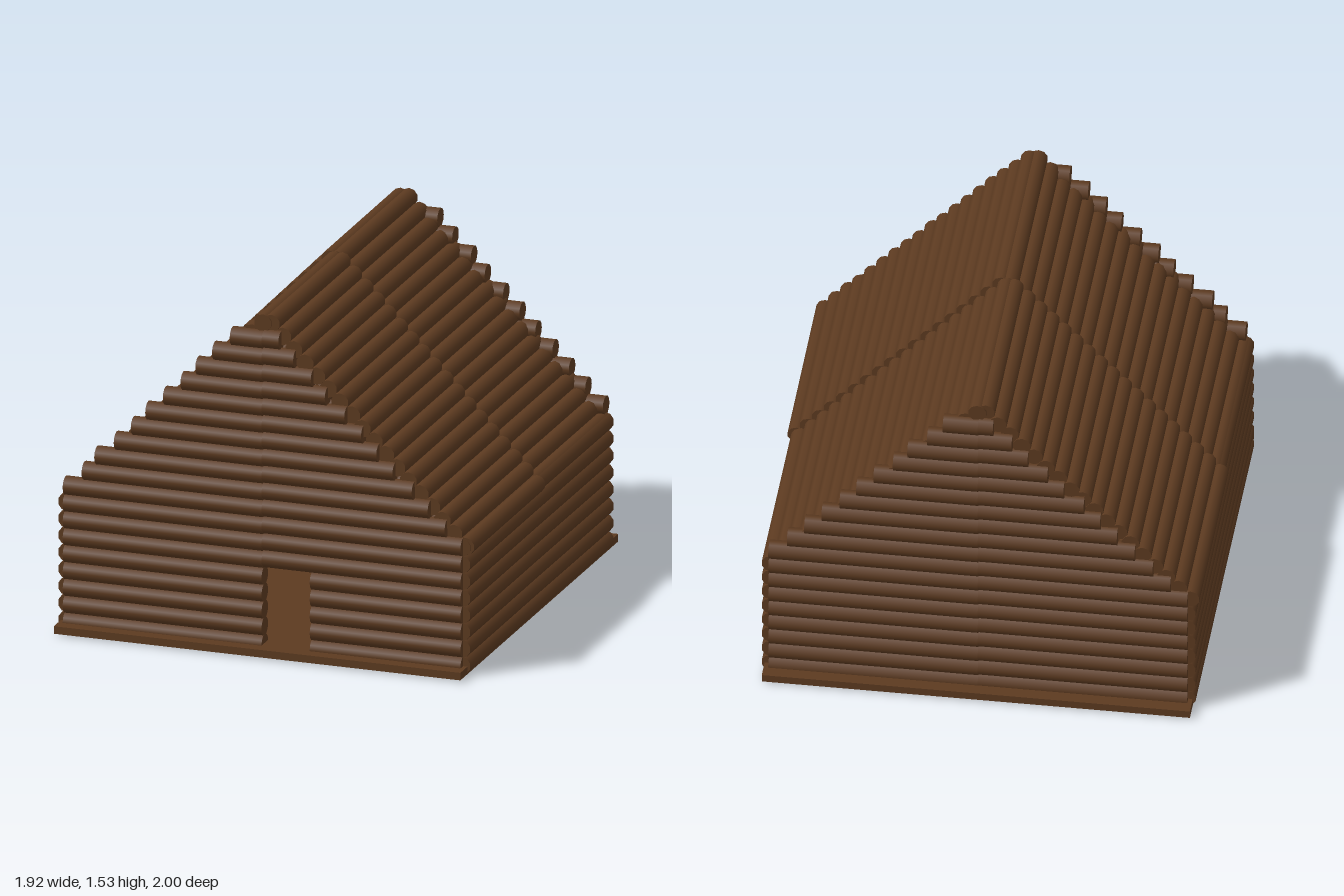
import * as THREE from 'three';

const wood = new THREE.MeshStandardMaterial({ color: 0x5c3a20 });
wood.name = 'brown wood';
const stone = new THREE.MeshStandardMaterial({ color: 0x80808a });
stone.name = 'grey stone';

const R = 0.042, PITCH = 0.0766, WALL = 0.902;

// Seeded jitter for slightly uneven log ends
let seed = 7;
const rand = () => (seed = (seed * 16807) % 2147483647) / 2147483647;

function logX(parent, name, x0, x1, y, z) {
  const m = new THREE.Mesh(new THREE.CylinderGeometry(R, R, Math.abs(x1 - x0), 12), wood);
  m.rotation.z = Math.PI / 2;
  m.position.set((x0 + x1) / 2, y, z);
  m.name = name;
  parent.add(m);
}

function logZ(parent, name, x, y, z0, z1, r = R) {
  const m = new THREE.Mesh(new THREE.CylinderGeometry(r, r * 0.97, z1 - z0, 10), wood);
  m.rotation.x = Math.PI / 2;
  m.position.set(x, y, (z0 + z1) / 2);
  m.name = name;
  parent.add(m);
}

function box(parent, name, mat, x0, x1, y0, y1, z0, z1) {
  const m = new THREE.Mesh(new THREE.BoxGeometry(x1 - x0, y1 - y0, z1 - z0), mat);
  m.position.set((x0 + x1) / 2, (y0 + y1) / 2, (z0 + z1) / 2);
  m.name = name;
  parent.add(m);
}

// One half of the cabin: gable wall, two side walls and two roof slopes
function cabinHalf(hasDoor) {
  const half = new THREE.Group();

  // Gable logs, the two sides meeting in a seam at the middle
  for (const side of [-1, 1]) {
    const base = side < 0 ? 0.042 : 0.046;
    const fullRows = side < 0 ? 9 : 8;
    for (let i = 0; i < 19; i++) {
      const y = base + i * PITCH;
      const above = Math.max(0, i - fullRows + 1);
      const end = Math.max(0.05, 0.91 - above * 0.0765 + (above ? (rand() - 0.5) * 0.02 : 0));
      const start = hasDoor && side > 0 && y < 0.39 ? 0.22 : 0;
      logX(half, 'gableLog', side * start, side * end, y, WALL);
    }
  }

  // Side wall logs
  for (const side of [-1, 1]) {
    for (let i = 0; i < 8; i++) {
      logZ(half, 'sideWallLog', side * WALL, 0.044 + i * PITCH, 0, 0.91);
    }
  }

  // Roof logs climbing to the ridge
  const n = 18;
  for (const side of [-1, 1]) {
    for (let i = 0; i < n; i++) {
      const t = i / (n - 1);
      const x = side * THREE.MathUtils.lerp(0.908, 0.018, t) + 0.012;
      const y = THREE.MathUtils.lerp(0.585, 1.495, t);
      logZ(half, 'roofLog', x, y, 0, 0.9 + rand() * 0.012, 0.04);
    }
  }
  return half;
}

export function createModel() {
  const cabin = new THREE.Group();
  cabin.name = 'logCabin';

  box(cabin, 'floor', wood, -0.93, 0.93, 0.008, 0.042, -1, 1);

  const front = cabinHalf(true);
  front.name = 'frontHalf';
  const back = cabinHalf(false);
  back.name = 'backHalf';
  back.rotation.y = Math.PI;
  cabin.add(front, back);

  // Furnishings seen through the doorway
  box(cabin, 'hearth', stone, -0.1, 0.3, 0.042, 0.19, -0.5, -0.15);
  box(cabin, 'bench', wood, -0.1, 0.22, 0.19, 0.24, -0.65, -0.52);
  box(cabin, 'post', wood, 0.2, 0.218, 0.042, 0.4, -0.54, -0.52);

  return cabin;
}
